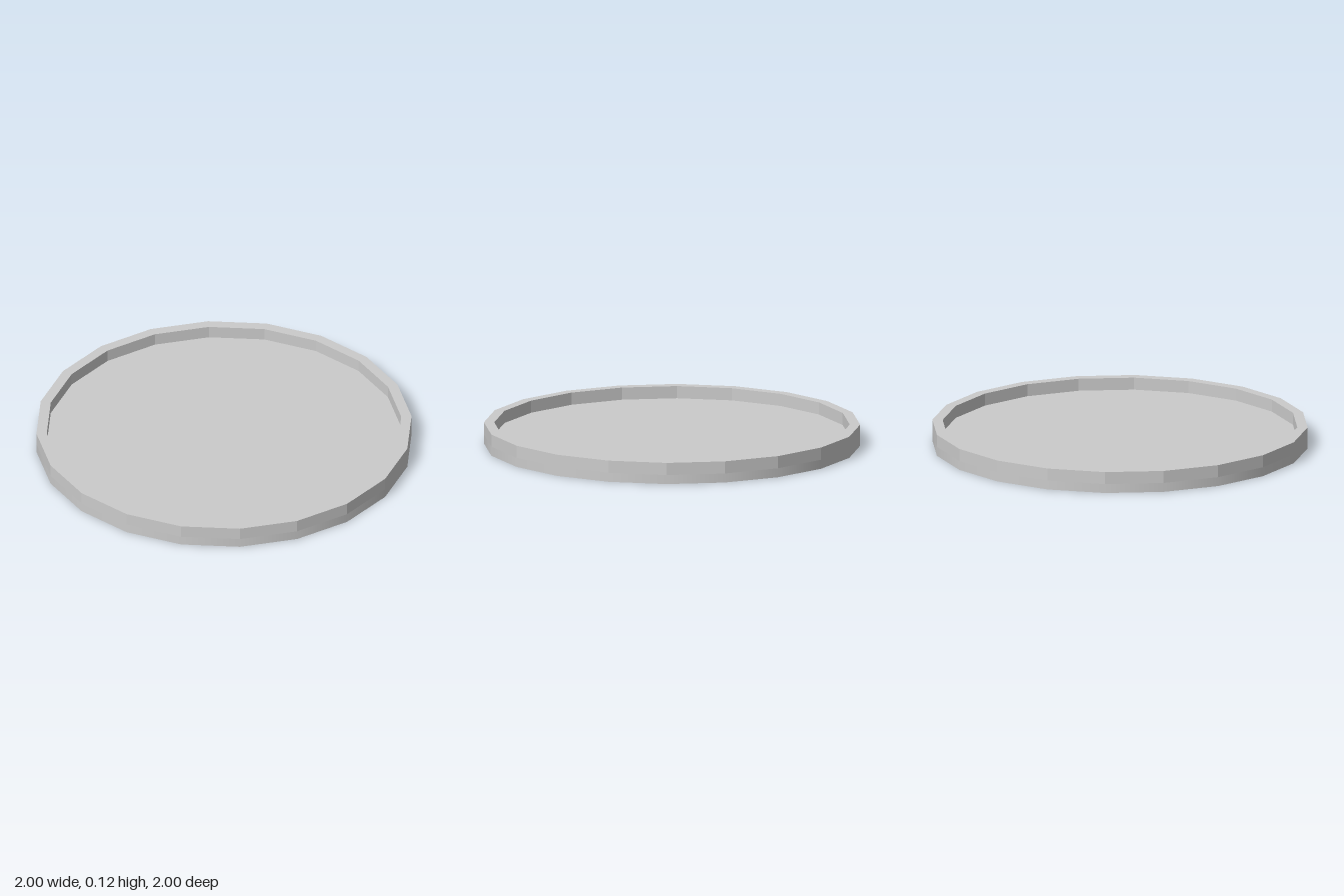
import * as THREE from 'three';

const SIDES = 20;
const RADIUS = 1;
const INNER_RADIUS = 0.945;
const HEIGHT = 0.115;
const FLOOR = 0.049;

export function createModel() {
  const group = new THREE.Group();
  group.name = 'roundTray';

  // Solid base disc, smooth around its side
  const base = new THREE.Mesh(
    new THREE.CylinderGeometry(RADIUS, RADIUS, FLOOR, SIDES),
    new THREE.MeshStandardMaterial({ color: 0xcccccc })
  );
  base.name = 'base';
  base.position.y = FLOOR / 2;
  group.add(base);

  // Raised faceted rim: outer wall, flat top, inner wall
  const profile = [
    [RADIUS, FLOOR],
    [RADIUS, HEIGHT],
    [INNER_RADIUS, HEIGHT],
    [INNER_RADIUS, FLOOR],
  ].map(([r, y]) => new THREE.Vector2(r, y));
  const rim = new THREE.Mesh(
    new THREE.LatheGeometry(profile, SIDES),
    new THREE.MeshStandardMaterial({ color: 0xcccccc, flatShading: true })
  );
  rim.name = 'rim';
  group.add(rim);

  return group;
}
